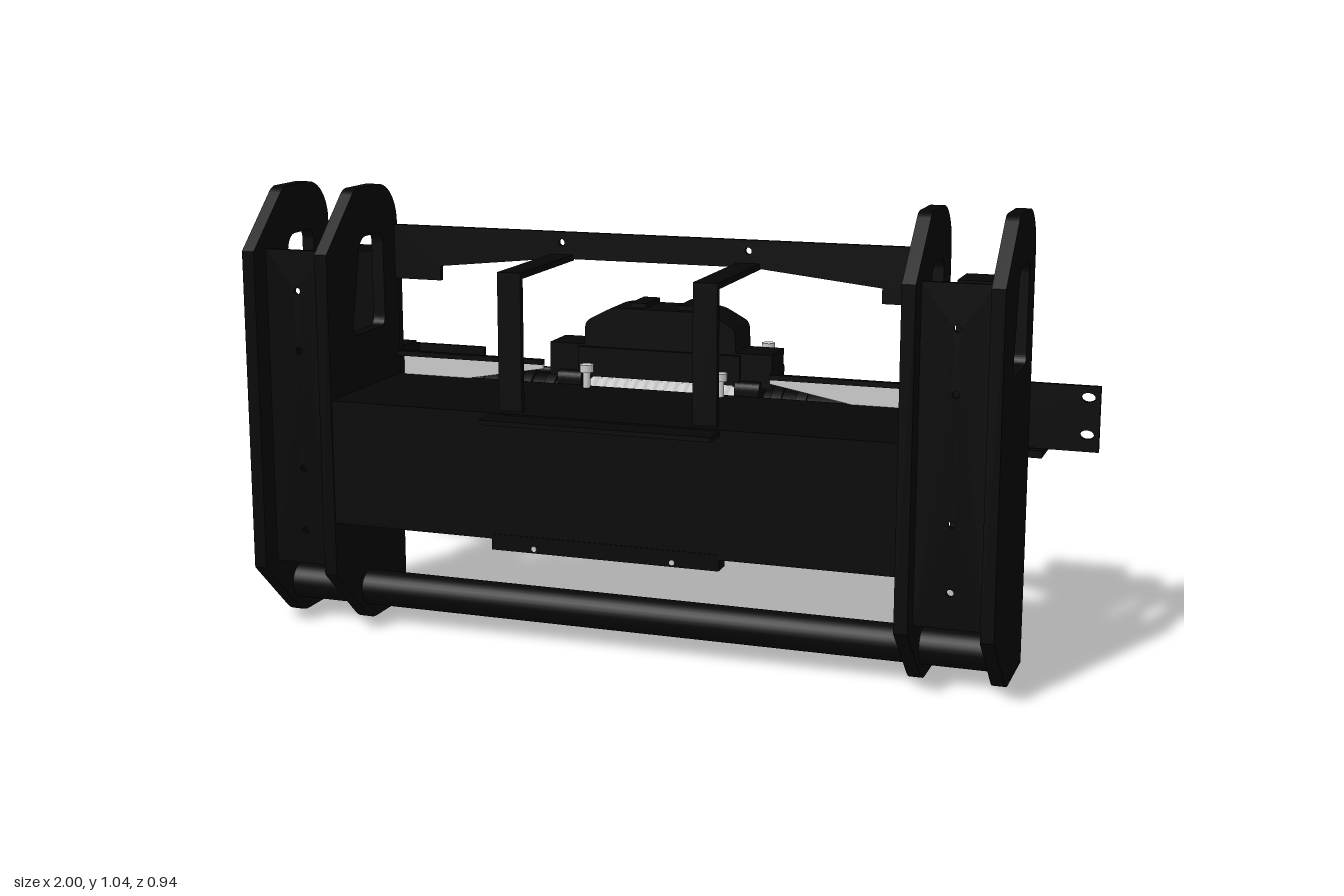
import * as THREE from 'three';

const dark = new THREE.MeshStandardMaterial({ color: 0x060606 });
const grey = new THREE.MeshStandardMaterial({ color: 0xcccccc });

export function createModel() {
  const model = new THREE.Group();

  const add = (name, geo, mat = dark) => {
    const mesh = new THREE.Mesh(geo, mat);
    mesh.name = name;
    model.add(mesh);
    return mesh;
  };
  // Box given by its limits on each axis
  const box = (name, x0, x1, y0, y1, z0, z1, mat) => add(name,
    new THREE.BoxGeometry(x1 - x0, y1 - y0, z1 - z0)
      .translate((x0 + x1) / 2, (y0 + y1) / 2, (z0 + z1) / 2), mat);
  // Cylinder along x
  const rod = (name, x0, x1, y, z, r, mat, sides = 32) => add(name,
    new THREE.CylinderGeometry(r, r, x1 - x0, sides).rotateZ(Math.PI / 2)
      .translate((x0 + x1) / 2, y, z), mat);
  // Upright bolt with a wider head, y is its foot
  const bolt = (x, y, z) => {
    add('boltShank', new THREE.CylinderGeometry(0.009, 0.009, 0.045, 16)
      .translate(x, y + 0.0225, z), grey);
    add('boltHead', new THREE.CylinderGeometry(0.016, 0.016, 0.018, 16)
      .translate(x, y + 0.051, z), grey);
  };
  const poly = (pts) => new THREE.Shape(pts.map(([a, b]) => new THREE.Vector2(a, b)));
  const hole = (x, y, rx, ry) => new THREE.Path().absellipse(x, y, rx, ry, 0, Math.PI * 2, true);
  // Closed outline with rounded corners, points are [u, v, radius]
  const rounded = (pts, path = new THREE.Shape()) => {
    const n = pts.length;
    pts.forEach(([u, v, r], i) => {
      const p = new THREE.Vector2(u, v);
      const toward = (q) => new THREE.Vector2(q[0], q[1]).sub(p).setLength(r).add(p);
      const a = toward(pts[(i + n - 1) % n]), b = toward(pts[(i + 1) % n]);
      if (i === 0) path.moveTo(a.x, a.y); else path.lineTo(a.x, a.y);
      path.quadraticCurveTo(u, v, b.x, b.y);
    });
    path.closePath();
    return path;
  };
  const extrude = (shape, depth) =>
    new THREE.ExtrudeGeometry(shape, { depth, bevelEnabled: false, curveSegments: 10 });
  // Outline in (z, y), extruded from x0 to x1
  const sidePlate = (name, shape, x0, x1, mat) =>
    add(name, extrude(shape, x1 - x0).rotateY(-Math.PI / 2).translate(x1, 0, 0), mat);
  // Outline in (x, y), extruded from z0 to z1
  const facePlate = (name, shape, z0, z1, mat) =>
    add(name, extrude(shape, z1 - z0).translate(0, 0, z0), mat);

  // Upright profile with its hand opening
  const upright = new THREE.Shape();
  upright.moveTo(0.405, 0.155);
  upright.lineTo(0.405, 0.905);
  upright.lineTo(0.275, 1.025);
  upright.quadraticCurveTo(0.26, 1.04, 0.24, 1.04);
  upright.lineTo(0.145, 1.04);
  upright.absarc(0.145, 0.94, 0.1, Math.PI / 2, Math.PI, false);
  upright.lineTo(0.045, 0);
  upright.lineTo(0.21, 0);
  upright.quadraticCurveTo(0.24, 0, 0.265, 0.025);
  upright.holes.push(rounded([[0.29, 0.7, 0.025], [0.238, 0.925, 0.03],
    [0.122, 0.925, 0.025], [0.122, 0.7, 0.025]], new THREE.Path()));

  for (const s of [-1, 1]) {
    const span = (a, b) => (s > 0 ? [a, b] : [-b, -a]);
    const sbox = (name, a, b, ...rest) => box(name, ...span(a, b), ...rest);

    // Twin upright plates and the channel between them
    sidePlate('innerUpright', upright, ...span(0.66, 0.69));
    sidePlate('outerUpright', upright, ...span(0.845, 0.875));
    const [c0, c1] = span(0.69, 0.845);
    const panel = poly([[c0, 0.16], [c1, 0.16], [c1, 0.905], [c0, 0.905]]);
    for (const y of [0.24, 0.39, 0.67, 0.81]) panel.holes.push(hole(s * 0.768, y, 0.008, 0.008));
    facePlate('uprightFrontPanel', panel, 0.34, 0.35);
    for (const x of [0.695, 0.83])
      sbox('panelFlange', x, x + 0.01, 0.16, 0.69, 0.17, 0.345);
    sbox('panelFloor', 0.695, 0.84, 0.16, 0.172, 0.16, 0.345);

    // Rear column and chassis arm with cheeks below it
    sbox('rearColumn', 0.705, 0.835, 0.175, 0.865, -0.065, 0.045);
    sbox('chassisArm', 0.72, 0.82, 0.445, 0.61, -0.17, 0.16);
    for (const x of [0.72, 0.808])
      sbox('armCheek', x, x + 0.012, 0.31, 0.445, -0.17, -0.065);
    sbox('armNeck', 0.72, 0.82, 0.445, 0.6, -0.185, -0.17);

    // Cross mounting plate with end bolt holes
    const [p0, p1] = span(0.54, 1);
    const mount = poly([[p0, 0.445], [p1, 0.445], [p1, 0.6], [p0, 0.6]]);
    for (const y of [0.485, 0.573]) mount.holes.push(hole(s * 0.972, y, 0.016, 0.011));
    facePlate('mountingPlate', mount, -0.197, -0.185);

    // Slotted shelf and its gusset; the outline is (x, -z)
    const [q0, q1] = span(0.672, 0.872);
    const shelf = poly([[q0, 0.175], [q1, 0.175], [q1, 0.468], [q0, 0.468]]);
    for (const x of [0.748, 0.806]) {
      const c = s * x;
      shelf.holes.push(rounded([[c - 0.013, 0.2, 0.012], [c + 0.013, 0.2, 0.012],
        [c + 0.013, 0.315, 0.012], [c - 0.013, 0.315, 0.012]], new THREE.Path()));
    }
    add('rearShelf', extrude(shelf, 0.018).rotateX(-Math.PI / 2).translate(0, 0.424, 0));
    sidePlate('shelfGusset', poly([[-0.19, 0.44], [-0.395, 0.44], [-0.19, 0.6]]),
      ...span(0.771, 0.783));

    // Bracket from the top bar forward and down to the beam
    sbox('topBracketArm', 0.2, 0.255, 0.868, 0.882, 0.05, 0.375);
    sbox('topBracketLeg', 0.2, 0.255, 0.57, 0.882, 0.36, 0.375);

    // Winch drum supports, clamps and end housings
    sidePlate('drumSupport', rounded([[0.04, 0.38, 0.02], [0.04, 0.6, 0.02],
      [-0.175, 0.61, 0.01], [-0.175, 0.53, 0.01], [-0.13, 0.38, 0.03]]), ...span(0.19, 0.25));
    sbox('supportClamp', 0.18, 0.275, 0.585, 0.665, -0.08, 0.02);
    bolt(s * 0.213, 0.6, -0.165);
    bolt(s * 0.165, 0.565, 0.065);
    rod('endHousing', ...span(0.25, 0.47), 0.49, -0.05, 0.09);
    rod('endCap', ...span(0.47, 0.505), 0.485, -0.05, 0.075);
    for (const x of [0.27, 0.33, 0.455])
      rod('housingRing', ...span(x, x + 0.025), 0.49, -0.05, 0.096);
    for (let i = 0; i < 6; i++) {
      const a = i * Math.PI / 3 + 0.4;
      rod('tieRod', ...span(0.25, 0.475), 0.49 + 0.094 * Math.sin(a),
        -0.05 + 0.094 * Math.cos(a), 0.009, dark, 10);
    }
    rod('clutchPin', ...span(0.5, 0.56), 0.5, 0, 0.005, dark, 10);

    // Grey winch plate, cut away around the winch
    facePlate('winchPlate', poly([[0.645, 0.36], [0.645, 0.615], [0.28, 0.615], [0.28, 0.605],
      [0.5, 0.565], [0.5, 0.36]].map(([x, y]) => [s * x, y])), 0.045, 0.055, grey);
    sbox('winchPlateEdge', 0.28, 0.66, 0.615, 0.627, 0.045, 0.06);
  }

  // Main cross beam: folded front, top, bottom lip and low back return
  box('beamFront', -0.66, 0.66, 0.285, 0.57, 0.39, 0.402);
  box('beamTop', -0.66, 0.66, 0.558, 0.57, 0.045, 0.402);
  box('beamBottom', -0.66, 0.66, 0.28, 0.292, 0.045, 0.402);
  box('beamBack', -0.66, 0.66, 0.28, 0.36, 0.045, 0.057);

  // Front ledge and lower plate with two bolts
  box('frontLedge', -0.265, 0.27, 0.556, 0.567, 0.39, 0.467);
  box('lowerPlate', -0.265, 0.27, 0.255, 0.292, 0.36, 0.404);
  for (const x of [-0.163, 0.163])
    add('lowerPlateBolt', new THREE.CylinderGeometry(0.006, 0.006, 0.003, 12)
      .rotateX(Math.PI / 2).translate(x, 0.265, 0.404), grey);

  // Cable guide frame
  const guide = rounded([[-0.17, 0.335, 0.04], [0.17, 0.335, 0.04],
    [0.17, 0.425, 0.04], [-0.17, 0.425, 0.04]]);
  guide.holes.push(rounded([[-0.13, 0.362, 0.016], [0.13, 0.362, 0.016],
    [0.13, 0.398, 0.016], [-0.13, 0.398, 0.016]], new THREE.Path()));
  facePlate('cableGuide', guide, 0.02, 0.045, grey);

  // Lower tube and top bar with tapered ends
  rod('lowerTube', -0.845, 0.845, 0.082, 0.24, 0.042);
  const bar = poly([[-0.66, 0.805], [-0.54, 0.805], [-0.54, 0.84], [-0.24, 0.872],
    [0.24, 0.872], [0.54, 0.84], [0.54, 0.805], [0.66, 0.805], [0.66, 0.935], [-0.66, 0.935]]);
  bar.holes.push(hole(-0.228, 0.91, 0.008, 0.008), hole(0.228, 0.91, 0.008, 0.008));
  facePlate('topBar', bar, 0.047, 0.06);

  // Wound cable drum: a rippled lathe
  const ripple = [];
  const turns = 15;
  for (let i = 0; i <= turns * 6; i++) {
    const t = i / (turns * 6);
    ripple.push(new THREE.Vector2(0.076 + 0.008 * Math.abs(Math.sin(t * turns * Math.PI)),
      -0.19 + 0.38 * t));
  }
  add('cableDrum', new THREE.LatheGeometry(ripple, 40).rotateZ(Math.PI / 2)
    .translate(0, 0.5, -0.05), grey);

  // Control box over the drum
  facePlate('controlBox', rounded([[-0.19, 0.61, 0.02], [0.19, 0.61, 0.02], [0.185, 0.72, 0.015],
    [0.12, 0.755, 0.02], [-0.12, 0.755, 0.02], [-0.185, 0.72, 0.015]]), -0.1, 0.02);
  for (const x of [-0.06, 0.06])
    box('controlBoxRib', x - 0.02, x + 0.02, 0.74, 0.766, -0.1, 0.0);
  sidePlate('controlBoxSkirt', poly([[-0.1, 0.66], [-0.12, 0.61], [-0.12, 0.59],
    [0.03, 0.59], [0.03, 0.66]]), -0.2, 0.2);

  return model;
}
